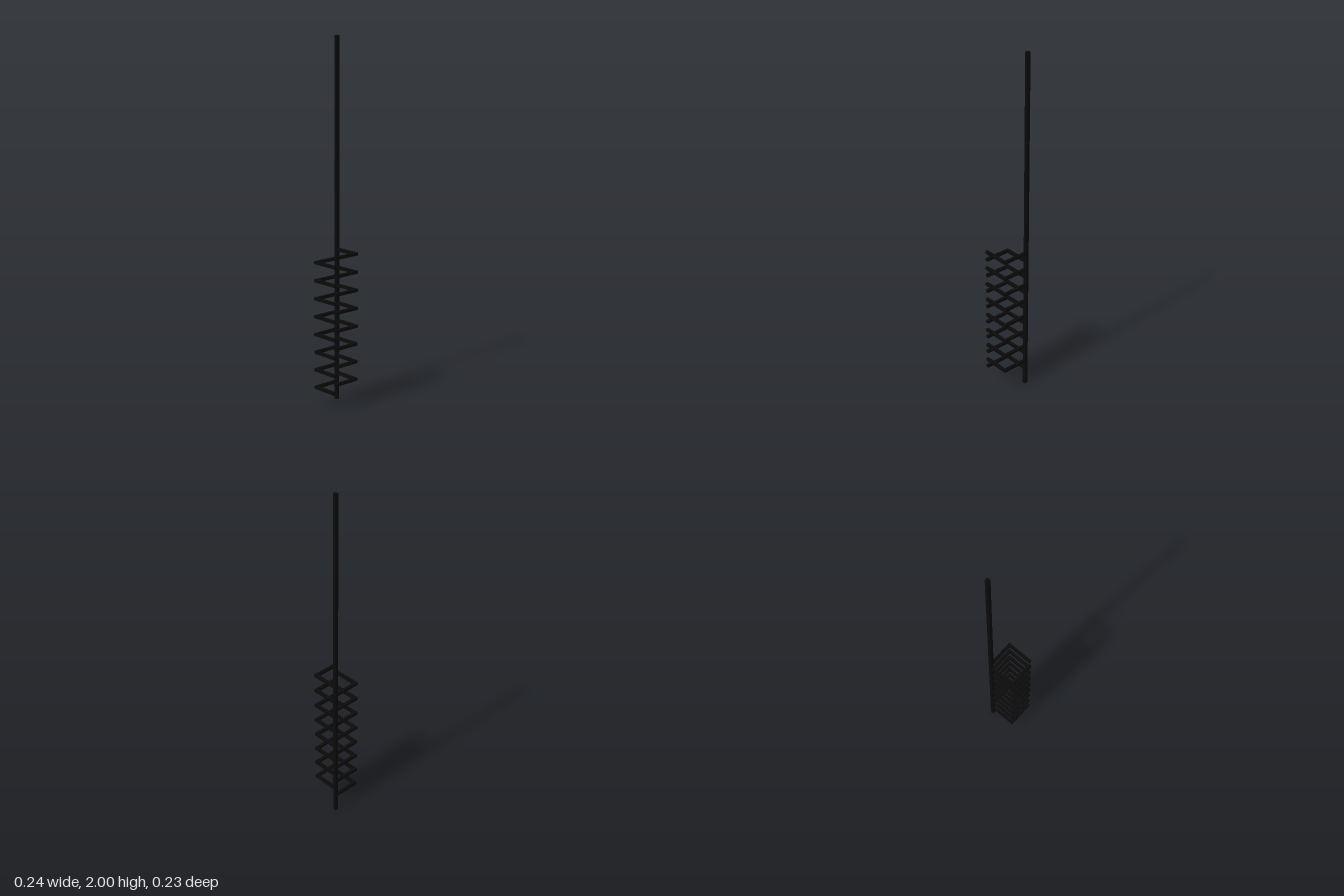
import * as THREE from 'three';

const POLE = 0.019;   // side of the square pole
const BAR = 0.016;    // side of the square hook bar
const ARM = 0.1506;   // length of each hook leg along its centre line
const HOOKS = 8;      // per side

// L-shaped hook lying flat; swap mirrors it to the other side of the pole
function hookGeometry(swap) {
  const h = BAR / 2;
  const outline = [[0, -h], [ARM + h, -h], [ARM + h, ARM], [ARM - h, ARM], [ARM - h, h], [0, h]];
  const shape = new THREE.Shape(outline.map(([u, v]) => swap ? new THREE.Vector2(v, u) : new THREE.Vector2(u, v)));
  const geometry = new THREE.ExtrudeGeometry(shape, { depth: BAR, bevelEnabled: false });
  return geometry.translate(0, 0, -h).rotateX(Math.PI / 2);
}

export function createModel() {
  const model = new THREE.Group();
  model.name = 'hookedPole';
  const material = new THREE.MeshStandardMaterial({ color: 0x0a0a0a });

  // Everything is square to the pole, which is turned 45 degrees
  model.rotation.y = -Math.PI / 4;
  model.position.z = -0.1065;

  // Upright pole
  const pole = new THREE.Mesh(new THREE.BoxGeometry(POLE, 2, POLE), material);
  pole.name = 'pole';
  pole.position.y = 1;
  model.add(pole);

  // Hooks alternating left and right up the lower part
  const sides = [
    { name: 'rightHook', geometry: hookGeometry(true), start: 0.102 },
    { name: 'leftHook', geometry: hookGeometry(false), start: 0.152 },
  ];
  for (const { name, geometry, start } of sides) {
    for (let i = 0; i < HOOKS; i++) {
      const hook = new THREE.Mesh(geometry, material);
      hook.name = name + (i + 1);
      hook.position.y = start + i * 0.1;
      model.add(hook);
    }
  }

  const root = new THREE.Group();
  root.add(model);
  return root;
}
